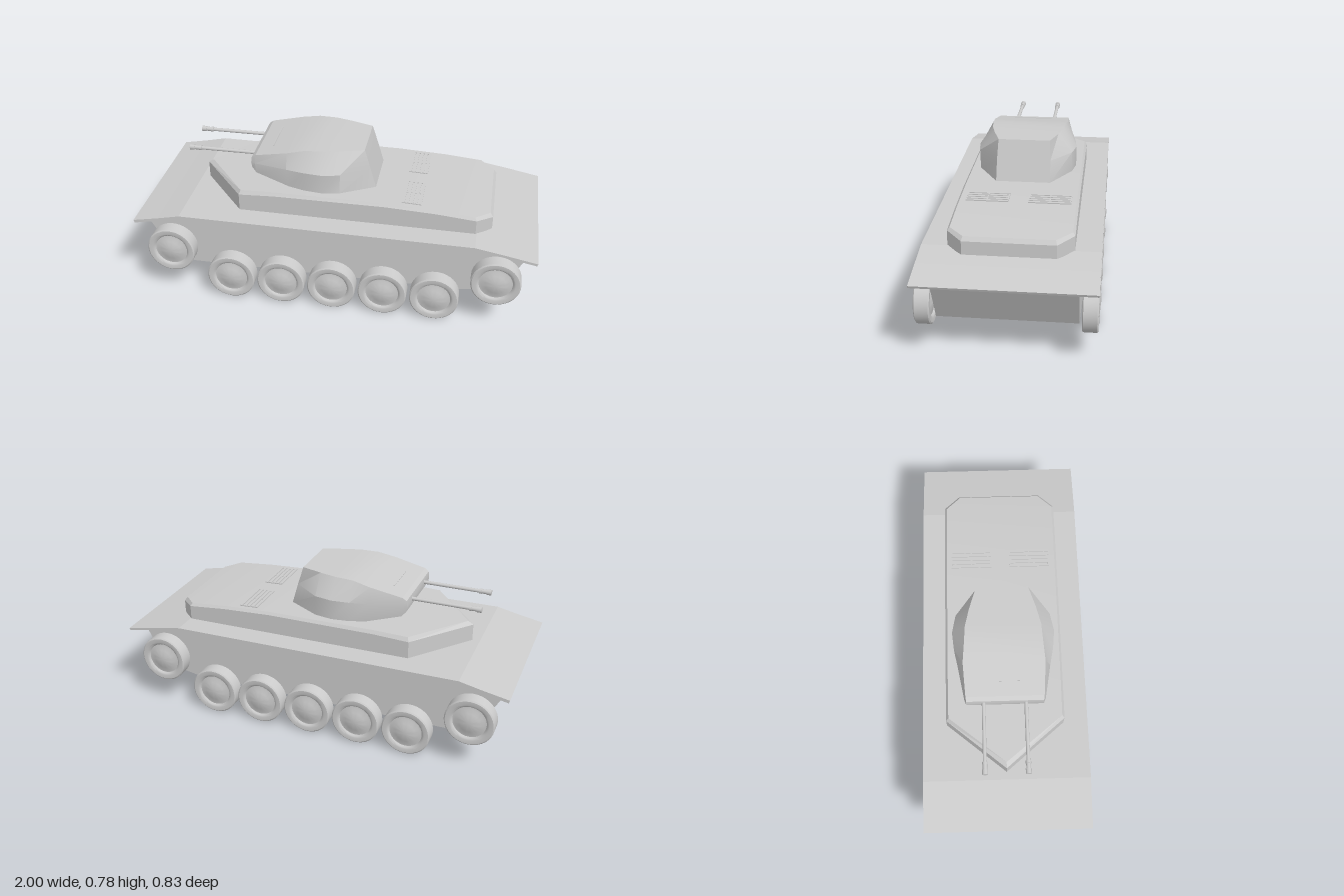
import * as THREE from 'three';
import { toCreasedNormals } from 'three/addons/utils/BufferGeometryUtils.js';

const material = new THREE.MeshStandardMaterial({ color: 0xcccccc, side: THREE.DoubleSide });

function part(parent, name, geometry, x = 0, y = 0, z = 0) {
  const mesh = new THREE.Mesh(geometry, material);
  mesh.name = name;
  mesh.position.set(x, y, z);
  parent.add(mesh);
  return mesh;
}

// Side profile in x/y, extruded symmetrically across z
function slab(points, width) {
  const shape = new THREE.Shape(points.map(p => new THREE.Vector2(...p)));
  const geometry = new THREE.ExtrudeGeometry(shape, { depth: width, bevelEnabled: false });
  return geometry.translate(0, 0, -width / 2);
}

// Skin over sections running along x; each is a half profile, bottom to top, mirrored in z
function loft(sections, crease) {
  const rings = sections.map(s => [...s, ...s.map(([x, y, z]) => [x, y, -z]).reverse()]);
  const n = rings[0].length;
  const pos = [];
  const quad = (a, b, c, d) => pos.push(...a, ...b, ...c, ...a, ...c, ...d);
  for (let k = 0; k < rings.length - 1; k++) {
    const a = rings[k], b = rings[k + 1];
    for (let i = 0; i < n; i++) {
      const j = (i + 1) % n;
      quad(a[i], b[i], b[j], a[j]);
    }
  }
  const nose = rings[0], tail = rings[rings.length - 1];
  for (let i = 0; i < n / 2 - 1; i++) {
    quad(nose[n - 1 - i], nose[i], nose[i + 1], nose[n - 2 - i]);
    quad(tail[i], tail[n - 1 - i], tail[n - 2 - i], tail[i + 1]);
  }
  const geometry = new THREE.BufferGeometry();
  geometry.setAttribute('position', new THREE.Float32BufferAttribute(pos, 3));
  return toCreasedNormals(geometry, crease);
}

// Dished wheel with a raised rim and a domed hub on both faces, axis along z
function wheelGeometry() {
  const face = [[0, 0.042], [0.025, 0.04], [0.05, 0.034], [0.072, 0.026], [0.082, 0.025],
    [0.088, 0.033], [0.096, 0.036], [0.116, 0.036], [0.122, 0.031]];
  const profile = [...face, ...face.map(([r, h]) => [r, -h]).reverse()]
    .map(p => new THREE.Vector2(...p)).reverse();
  const geometry = new THREE.LatheGeometry(profile, 40).rotateX(Math.PI / 2);
  return toCreasedNormals(geometry, 0.6);
}

export function createModel() {
  const model = new THREE.Group();
  model.name = 'tank';

  // Lower hull and the broad track guards above it
  part(model, 'lowerHull', slab([[-0.82, 0.14], [0.65, 0.14], [0.85, 0.175], [0.965, 0.4],
    [0.7, 0.448], [-0.76, 0.455], [-0.975, 0.41]], 0.646));
  part(model, 'trackGuards', slab([[-0.995, 0.403], [-0.87, 0.428], [-0.76, 0.453], [0.7, 0.445],
    [0.84, 0.42], [0.995, 0.39], [1, 0.402], [0.84, 0.433], [0.7, 0.458], [-0.76, 0.467],
    [-0.87, 0.443], [-1, 0.418]], 0.82));

  // Superstructure with a pointed nose and a sloping engine deck
  part(model, 'superstructure', loft([
    [[-0.722, 0.45, 0], [-0.722, 0.552, 0], [-0.695, 0.568, 0]],
    [[-0.48, 0.45, 0.29], [-0.48, 0.552, 0.29], [-0.472, 0.572, 0.278]],
    [[-0.3, 0.45, 0.29], [-0.3, 0.56, 0.29], [-0.3, 0.577, 0.279]],
    [[0.25, 0.45, 0.29], [0.25, 0.56, 0.29], [0.25, 0.573, 0.279]],
    [[0.5, 0.45, 0.29], [0.5, 0.548, 0.29], [0.5, 0.561, 0.279]],
    [[0.695, 0.45, 0.29], [0.695, 0.53, 0.29], [0.688, 0.544, 0.279]],
    [[0.772, 0.45, 0.214], [0.772, 0.515, 0.214], [0.758, 0.535, 0.208]],
  ], 0.3));

  // Turret: half sections of floor, shoulder and roof edge
  const turret = new THREE.Group();
  turret.name = 'turret';
  model.add(turret);
  part(turret, 'turretShell', loft([
    [[-0.432, 0.655, 0.185], [-0.436, 0.683, 0.187], [-0.432, 0.712, 0.185]],
    [[-0.41, 0.63, 0.192], [-0.415, 0.683, 0.195], [-0.412, 0.726, 0.188]],
    [[-0.24, 0.585, 0.222], [-0.25, 0.68, 0.224], [-0.25, 0.758, 0.198]],
    [[-0.16, 0.58, 0.24], [-0.16, 0.68, 0.242], [-0.16, 0.776, 0.19]],
    [[-0.07, 0.58, 0.251], [-0.07, 0.68, 0.251], [-0.07, 0.777, 0.184]],
    [[0.02, 0.58, 0.235], [0.02, 0.68, 0.233], [0.02, 0.776, 0.162]],
    [[0.185, 0.575, 0.135], [0.155, 0.68, 0.133], [0.126, 0.775, 0.128]],
  ], 0.4));
  const seam = part(turret, 'roofSeam', new THREE.BoxGeometry(0.006, 0.004, 0.2), -0.34, 0.741, 0);
  seam.rotation.z = 0.19;

  // Twin guns with muzzle collars
  for (const z of [-0.103, 0.1]) {
    const gun = new THREE.Group();
    gun.name = 'gun';
    gun.position.set(0, 0.69, z);
    turret.add(gun);
    const tube = (name, r, x0, x1) => part(gun, name,
      new THREE.CylinderGeometry(r, r, x1 - x0, 16).rotateZ(Math.PI / 2), (x0 + x1) / 2);
    tube('barrel', 0.009, -0.77, -0.4);
    tube('muzzle', 0.014, -0.778, -0.755);
    tube('muzzleSleeve', 0.011, -0.755, -0.72);
    tube('muzzleCollar', 0.013, -0.73, -0.718);
  }

  // Engine grilles made of slats
  for (const z of [-0.152, 0.147]) {
    const grille = new THREE.Group();
    grille.name = 'engineGrille';
    grille.position.set(0.377, 0.569, z);
    grille.rotation.z = -0.046;
    model.add(grille);
    for (let i = 0; i < 5; i++) {
      part(grille, 'slat', new THREE.BoxGeometry(0.013, 0.006, 0.204), (i - 2) * 0.021);
    }
    for (const s of [-1, 0, 1]) {
      part(grille, 'crossBar', new THREE.BoxGeometry(0.097, 0.004, 0.006), 0, 0, s * 0.1);
    }
  }

  // Five road wheels and two raised end wheels on each side
  const wheel = wheelGeometry();
  for (const z of [-0.372, 0.372]) {
    for (let i = 0; i < 5; i++) part(model, 'roadWheel', wheel, -0.515 + i * 0.259, 0.122, z);
    part(model, 'driveWheel', wheel, -0.822, 0.252, z);
    part(model, 'idlerWheel', wheel, 0.814, 0.252, z);
  }
  return model;
}
